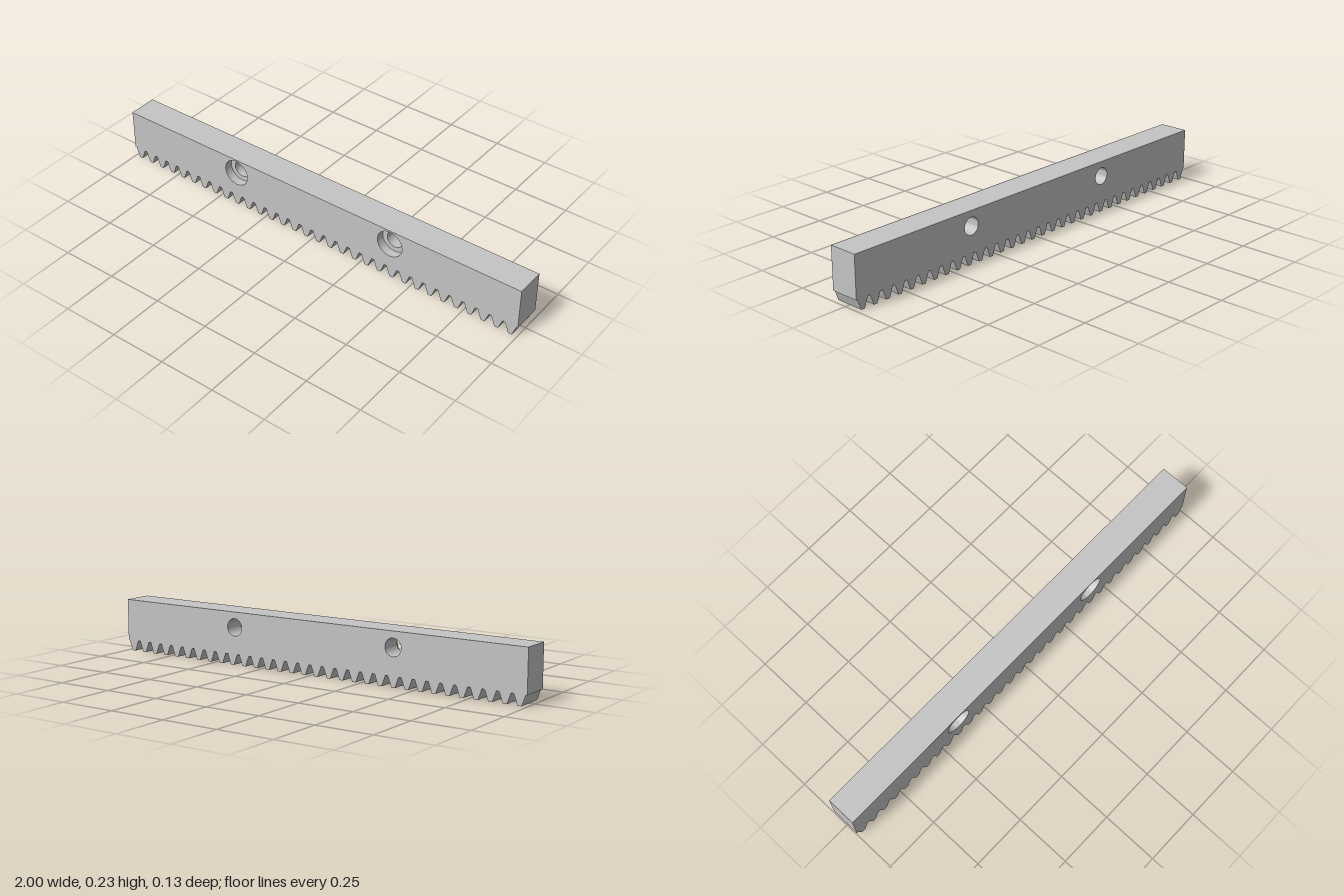
import * as THREE from 'three';
import { toCreasedNormals } from 'three/addons/utils/BufferGeometryUtils.js';

const TEETH = 32, PITCH = 2 / TEETH;
const TIP = 0.0085, BASE = 0.0253; // half widths of a tooth
const ROOT = 0.046, TOP = 0.231, HALF = 0.0655;
const HOLE_X = [-0.404, 0.393], HOLE_Y = 0.164;
const BORE = 0.038, COUNTERBORE = 0.06, SINK = 0.038;

// Bar outline, counter-clockwise, with the teeth along the bottom edge
function outline() {
  const pts = [new THREE.Vector2(-1, ROOT)];
  for (let i = 0; i < TEETH; i++) {
    const c = -1 + (i + 0.5) * PITCH;
    for (const [x, y] of [[-BASE, ROOT], [-TIP, 0], [TIP, 0], [BASE, ROOT]]) {
      pts.push(new THREE.Vector2(c + x, y));
    }
  }
  pts.push(new THREE.Vector2(1, ROOT), new THREE.Vector2(1, TOP), new THREE.Vector2(-1, TOP));
  return pts;
}

// Flat face of the bar with two round openings
function faceGeometry(pts, radius) {
  const shape = new THREE.Shape(pts);
  for (const x of HOLE_X) {
    shape.holes.push(new THREE.Path().absarc(x, HOLE_Y, radius, 0, Math.PI * 2, true));
  }
  return new THREE.ShapeGeometry(shape, 24);
}

// Flat walls joining the front outline to the back outline
function wallGeometry(pts) {
  const pos = [];
  pts.forEach((a, i) => {
    const b = pts[(i + 1) % pts.length];
    pos.push(a.x, a.y, HALF, a.x, a.y, -HALF, b.x, b.y, -HALF);
    pos.push(a.x, a.y, HALF, b.x, b.y, -HALF, b.x, b.y, HALF);
  });
  const g = new THREE.BufferGeometry();
  g.setAttribute('position', new THREE.Float32BufferAttribute(pos, 3));
  g.computeVertexNormals();
  return g;
}

export function createModel() {
  const group = new THREE.Group();
  group.name = 'gearRack';
  const steel = new THREE.MeshStandardMaterial({ color: 0xc4c4c4 });
  steel.name = 'light steel grey';

  const add = (name, geometry) => {
    const mesh = new THREE.Mesh(geometry, steel);
    mesh.name = name;
    group.add(mesh);
    return mesh;
  };

  const pts = outline();
  add('toothedWalls', wallGeometry(pts));
  add('frontFace', faceGeometry(pts, COUNTERBORE)).position.z = HALF;

  // back face, with the triangles turned round to face backwards
  const back = faceGeometry(pts, BORE);
  back.index.array.reverse();
  back.computeVertexNormals();
  add('backFace', back).position.z = -HALF;

  // stepped screw holes, wide at the front
  const profile = [
    [COUNTERBORE, HALF], [COUNTERBORE, HALF - SINK], [BORE, HALF - SINK], [BORE, -HALF],
  ].map(([r, z]) => new THREE.Vector2(r, z));
  const hole = toCreasedNormals(new THREE.LatheGeometry(profile, 48).rotateX(Math.PI / 2), 0.6);
  HOLE_X.forEach((x, i) => {
    add(i ? 'leftScrewHole' : 'rightScrewHole', hole).position.set(x, HOLE_Y, 0);
  });

  return group;
}
